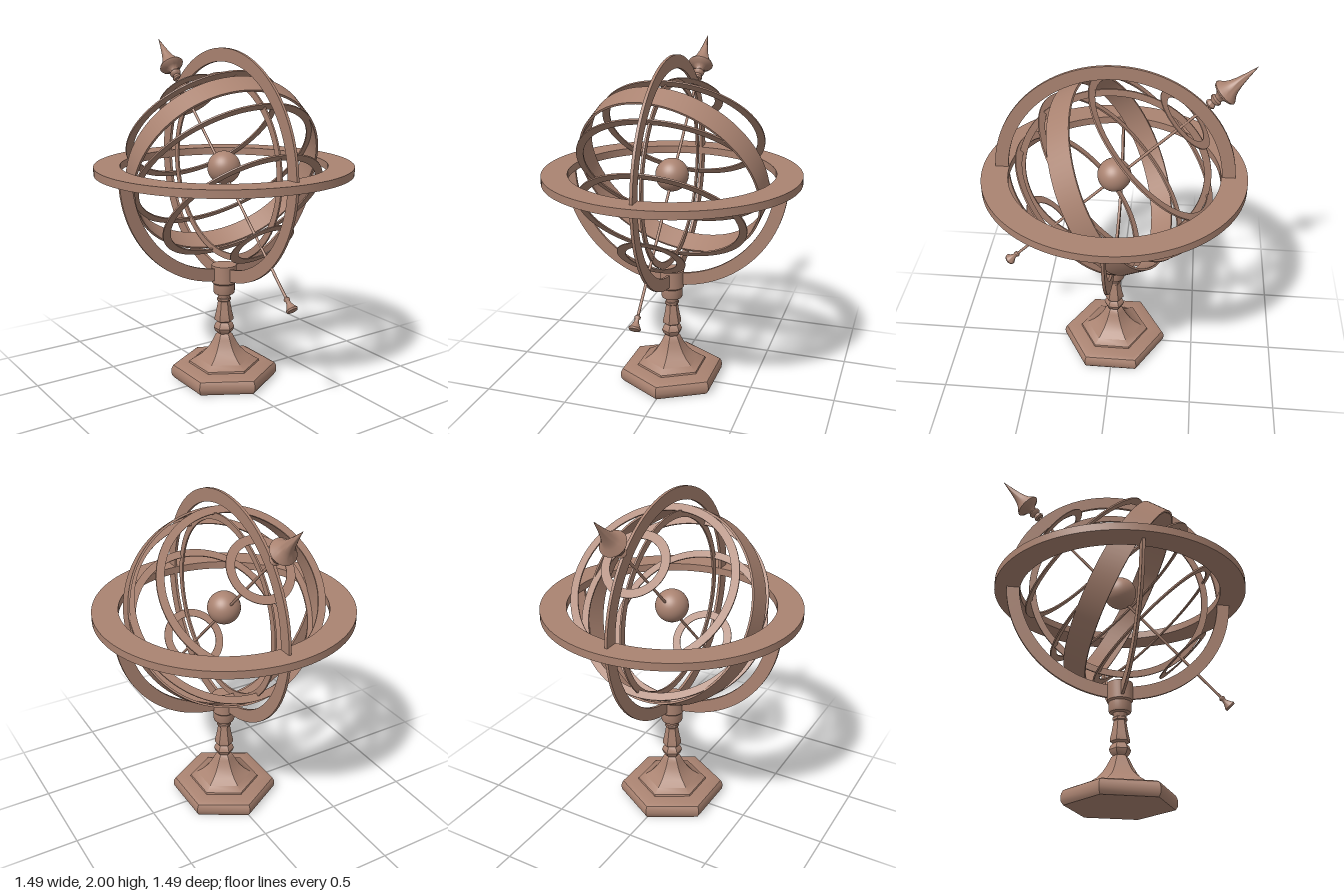
import * as THREE from 'three';
import { toCreasedNormals } from 'three/addons/utils/BufferGeometryUtils.js';

const CENTER_Y = 1.292;

export function createModel() {
  const model = new THREE.Group();
  model.name = 'armillarySphere';
  const bronze = new THREE.MeshStandardMaterial({ color: 0xaa8371 });
  bronze.name = 'bronze';

  const add = (parent, name, geometry) => {
    const mesh = new THREE.Mesh(geometry, bronze);
    mesh.name = name;
    parent.add(mesh);
    return mesh;
  };

  // Turned part from [radius, height] pairs, listed bottom to top
  const turned = (points, sides, crease = 0.6, start = 0, length = Math.PI * 2) =>
    toCreasedNormals(
      new THREE.LatheGeometry(points.map(([r, y]) => new THREE.Vector2(r, y)), sides, start, length),
      crease
    );

  // Flat ring around y with a rectangular section
  const ring = (inner, outer, thickness, start, length) => {
    const h = thickness / 2;
    return turned(
      [[inner, -h], [outer, -h], [outer, h], [inner, h], [inner, -h]],
      96, 0.6, start, length
    );
  };

  // Six-sided pedestal with a corner towards the front
  const pedestal = new THREE.Group();
  pedestal.name = 'pedestal';
  model.add(pedestal);
  add(pedestal, 'base', turned([
    [0, 0], [0.305, 0], [0.318, 0.018], [0.321, 0.04], [0.318, 0.062],
    [0.308, 0.08], [0.285, 0.09], [0.21, 0.095], [0, 0.095],
  ], 6));
  add(pedestal, 'stem', turned([
    [0.215, 0.09], [0.21, 0.105], [0.17, 0.13], [0.13, 0.157], [0.1, 0.187],
    [0.078, 0.22], [0.062, 0.25], [0.05, 0.275], [0.04, 0.283],
    [0.053, 0.295], [0.062, 0.318], [0.053, 0.342], [0.04, 0.355],
    [0.057, 0.365], [0.057, 0.378], [0.047, 0.42], [0.036, 0.485],
    [0.042, 0.49], [0.042, 0.503], [0.036, 0.51], [0.036, 0.535],
  ], 6));
  add(pedestal, 'socket', turned([
    [0, 0.5], [0.034, 0.5], [0.04, 0.53], [0.06, 0.535], [0.064, 0.545],
    [0.064, 0.595], [0.073, 0.605], [0.073, 0.71], [0, 0.71],
  ], 32));

  // Fixed outer frame: horizon, meridian and lower support arc
  const frame = new THREE.Group();
  frame.name = 'frame';
  frame.position.y = CENTER_Y;
  model.add(frame);
  add(frame, 'horizonRing', ring(0.595, 0.744, 0.045));
  add(frame, 'meridianRing', ring(0.6, 0.675, 0.016)).rotation.z = Math.PI / 2;
  add(frame, 'supportArc', ring(0.6, 0.675, 0.016, -Math.PI / 2, Math.PI)).rotation.x = Math.PI / 2;
  add(frame, 'colureRing', ring(0.503, 0.542, 0.01)).rotation.z = Math.PI / 2;
  add(frame, 'globe', new THREE.SphereGeometry(0.096, 40, 28));

  // Rings square to the tilted axis: [name, offset, inner, outer, thickness]
  const sphere = new THREE.Group();
  sphere.name = 'celestialRings';
  sphere.rotation.x = -Math.PI / 4;
  frame.add(sphere);
  for (const [name, offset, inner, outer, thickness] of [
    ['upperPolarRing', 0.537, 0.143, 0.192, 0.005],
    ['upperTropicRing', 0.3, 0.442, 0.487, 0.009],
    ['equatorRing', 0, 0.522, 0.565, 0.009],
    ['lowerTropicRing', -0.28, 0.442, 0.487, 0.009],
    ['lowerPolarRing', -0.53, 0.143, 0.192, 0.005],
  ]) add(sphere, name, ring(inner, outer, thickness)).position.y = offset;

  // Broad band leaning to its own angle
  const lean = 0.15;
  const normal = new THREE.Vector3(
    Math.sin(lean), 0.47 * Math.cos(lean), -0.883 * Math.cos(lean)
  ).normalize();
  add(frame, 'eclipticBand', ring(0.553, 0.565, 0.138))
    .quaternion.setFromUnitVectors(new THREE.Vector3(0, 1, 0), normal);

  // Polar axis with pointed finial and flared foot
  const axis = new THREE.Group();
  axis.name = 'polarAxis';
  axis.position.set(0, CENTER_Y - 0.0135, -0.0135);
  axis.rotation.x = -Math.PI / 4;
  model.add(axis);
  add(axis, 'rod', turned([[0, -0.92], [0.008, -0.92], [0.008, 0.7], [0, 0.7]], 16));
  add(axis, 'finial', turned([
    [0, 0.685], [0.024, 0.685], [0.03, 0.695], [0.024, 0.708], [0.02, 0.715],
    [0.032, 0.725], [0.034, 0.738], [0.024, 0.748], [0.028, 0.762],
    [0.045, 0.775], [0.068, 0.786], [0.075, 0.797], [0.068, 0.808],
    [0.05, 0.828], [0.037, 0.855], [0.026, 0.89], [0.015, 0.94], [0, 1.02],
  ], 32, 0.8));
  add(axis, 'foot', turned([
    [0, -0.94], [0.03, -0.94], [0.034, -0.93], [0.024, -0.915], [0.014, -0.895],
    [0.012, -0.88], [0.017, -0.873], [0.017, -0.864], [0.008, -0.855],
  ], 24, 0.8));

  return model;
}
